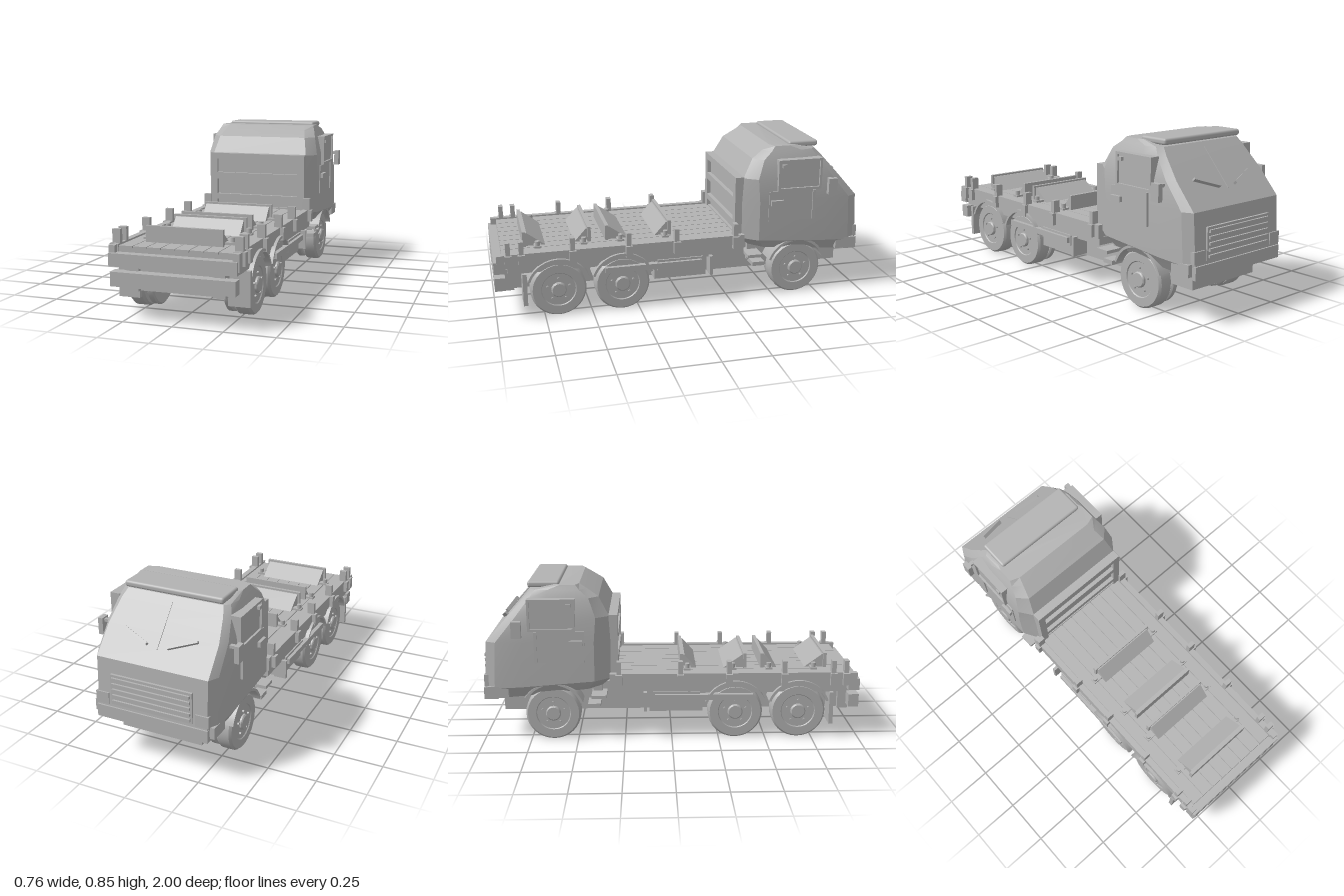
import * as THREE from 'three';
import { toCreasedNormals } from 'three/addons/utils/BufferGeometryUtils.js';
import { RoundedBoxGeometry } from 'three/addons/geometries/RoundedBoxGeometry.js';

const grey = new THREE.MeshStandardMaterial({ color: 0xb2b2b2 });
grey.name = 'primer grey';

function add(parent, name, geometry) {
  const mesh = new THREE.Mesh(geometry, grey);
  mesh.name = name;
  parent.add(mesh);
  return mesh;
}

// Box given by its limits on each axis
function box(parent, name, x0, x1, y0, y1, z0, z1) {
  const geo = new THREE.BoxGeometry(Math.abs(x1 - x0), Math.abs(y1 - y0), Math.abs(z1 - z0));
  geo.translate((x0 + x1) / 2, (y0 + y1) / 2, (z0 + z1) / 2);
  return add(parent, name, geo);
}

// The same box on both sides
function pair(parent, name, x0, x1, y0, y1, z0, z1) {
  box(parent, name + 'Right', x0, x1, y0, y1, z0, z1);
  box(parent, name + 'Left', -x1, -x0, y0, y1, z0, z1);
}

// Profile of [z, y] points extruded across x
function prism(parent, name, points, x0, x1) {
  const shape = new THREE.Shape(points.map(([z, y]) => new THREE.Vector2(-z, y)));
  const geo = new THREE.ExtrudeGeometry(shape, { depth: x1 - x0, bevelEnabled: false });
  geo.rotateY(Math.PI / 2).translate(x0, 0, 0);
  return add(parent, name, geo);
}

// Cab shell lofted through horizontal rings: [yBack, yFront, halfWidth, zBack, zFront]
function cabGeometry() {
  const levels = [
    [0.285, 0.225, 0.30, -0.37, -0.93],
    [0.335, 0.285, 0.335, -0.32, -0.985],
    [0.54, 0.54, 0.337, -0.322, -0.97],
    [0.67, 0.67, 0.335, -0.327, -0.855],
    [0.77, 0.77, 0.313, -0.38, -0.767],
    [0.81, 0.81, 0.296, -0.44, -0.73],
    [0.835, 0.835, 0.285, -0.48, -0.62],
  ];
  const pos = [], index = [], n = 10;
  for (const [yb, yf, w, zb, zf] of levels) {
    const d = zb - zf;
    const half = [[w - 0.05, zb], [w, zb - 0.13 * d], [w, zf + 0.3 * d], [w - 0.012, zf + 0.08 * d], [w - 0.04, zf]];
    const ring = [...half, ...half.map(([x, z]) => [-x, z]).reverse()];
    for (const [x, z] of ring) pos.push(x, yb + (yf - yb) * (zb - z) / d, z);
  }
  for (let i = 0; i < levels.length - 1; i++) {
    for (let k = 0; k < n; k++) {
      const a = i * n + k, b = i * n + (k + 1) % n;
      index.push(a, b, b + n, a, b + n, a + n);
    }
  }
  const top = (levels.length - 1) * n;
  for (let k = 1; k < n - 1; k++) index.push(top, top + k, top + k + 1, 0, k + 1, k);
  const geo = new THREE.BufferGeometry();
  geo.setAttribute('position', new THREE.Float32BufferAttribute(pos, 3));
  geo.setIndex(index);
  return toCreasedNormals(geo, 0.3);
}

function buildCab(root) {
  const cab = new THREE.Group();
  cab.name = 'cab';
  root.add(cab);
  add(cab, 'cabShell', cabGeometry());
  add(cab, 'roofVisor', new RoundedBoxGeometry(0.53, 0.032, 0.165, 2, 0.012)).position.set(0, 0.834, -0.665);

  // Rear wall with ribs
  box(cab, 'rearWall', -0.28, 0.28, 0.34, 0.67, -0.34, -0.305);
  pair(cab, 'rearWallPost', 0.247, 0.287, 0.34, 0.675, -0.33, -0.283);
  for (const [y0, y1] of [[0.64, 0.675], [0.522, 0.56], [0.40, 0.432]])
    box(cab, 'rearWallRail', -0.25, 0.25, y0, y1, -0.33, -0.283);

  // Doors, handles and mirrors
  for (const s of [-1, 1]) {
    const side = (name, x0, x1, ...rest) => box(cab, name, s * x0, s * x1, ...rest);
    side('windowPane', 0.30, 0.342, 0.615, 0.765, -0.51, -0.735);
    side('windowSill', 0.30, 0.353, 0.603, 0.617, -0.50, -0.745);
    side('windowHeader', 0.30, 0.353, 0.76, 0.772, -0.50, -0.745);
    side('windowPillar', 0.30, 0.353, 0.603, 0.772, -0.50, -0.512);
    side('windowPillar', 0.30, 0.353, 0.603, 0.772, -0.733, -0.745);
    side('doorPanel', 0.32, 0.342, 0.435, 0.6, -0.455, -0.715);
    side('doorEdge', 0.32, 0.349, 0.435, 0.6, -0.70, -0.715);
    side('doorHandle', 0.33, 0.358, 0.525, 0.553, -0.465, -0.535);
    side('mirrorArm', 0.30, 0.36, 0.64, 0.655, -0.79, -0.81);
    side('mirror', 0.355, 0.381, 0.575, 0.662, -0.775, -0.825);
    side('windowHinge', 0.34, 0.358, 0.73, 0.748, -0.52, -0.545);
  }

  // Windscreen seam and wipers
  const screen = new THREE.Group();
  screen.name = 'windscreenDetails';
  screen.position.set(0, 0.675, -0.852);
  screen.rotation.x = 0.727;
  cab.add(screen);
  box(screen, 'windscreenSeam', -0.002, 0.002, -0.09, 0.15, -0.003, 0.003);
  for (const s of [-1, 1]) {
    const wiper = box(screen, 'wiper', -0.076, 0.076, -0.006, 0.006, -0.018, 0.002);
    wiper.position.set(s * 0.125, -0.045, 0);
    wiper.rotation.z = s * 0.4;
  }

  // Grille, lamps and bumper
  box(cab, 'grillePanel', -0.22, 0.22, 0.305, 0.465, -0.97, -0.987);
  for (let i = 0; i < 5; i++) box(cab, 'grilleSlat', -0.21, 0.21, 0.318 + i * 0.03, 0.332 + i * 0.03, -0.98, -0.997);
  pair(cab, 'headlamp', 0.235, 0.305, 0.30, 0.36, -0.94, -0.988);
  box(cab, 'bumper', -0.30, 0.30, 0.225, 0.29, -0.92, -0.993);
  pair(cab, 'bumperCorner', 0.29, 0.325, 0.24, 0.30, -0.86, -0.97);
}

function buildBed(root) {
  const bed = new THREE.Group();
  bed.name = 'loadBed';
  root.add(bed);
  box(bed, 'deckBase', -0.31, 0.31, 0.29, 0.343, -0.325, 0.955);
  pair(bed, 'sideRail', 0.285, 0.317, 0.29, 0.362, -0.33, 0.96);
  for (let i = 0; i < 8; i++) {
    const x = -0.284 + i * 0.071;
    box(bed, 'deckPlank', x + 0.002, x + 0.069, 0.335, 0.355, -0.32, 0.955);
  }
  box(bed, 'frontSill', -0.285, 0.285, 0.34, 0.362, -0.33, -0.29);

  // Stake posts with brackets
  for (const z of [0.925, 0.858, 0.597, 0.303, 0.045, -0.28]) {
    pair(bed, 'stakePost', 0.285, 0.325, 0.30, 0.428, z - 0.012, z + 0.012);
    pair(bed, 'stakeBracket', 0.31, 0.338, 0.295, 0.36, z - 0.018, z + 0.018);
  }

  // Wedge cradles in facing pairs, with clamps
  const cradles = [[0.06, 0.145, 0.085], [0.395, 0.27, 0.33], [0.495, 0.58, 0.525], [0.83, 0.71, 0.767]];
  for (const [zTop, zLow, zClamp] of cradles) {
    const d = Math.sign(zLow - zTop);
    prism(bed, 'cradleWedge', [[zTop, 0.345], [zTop, 0.425], [zTop + d * 0.012, 0.425], [zLow, 0.345]], -0.183, 0.183);
    box(bed, 'cradleBack', -0.195, 0.195, 0.35, 0.435, zTop - d * 0.012, zTop + d * 0.006);
    for (const s of [-1, 1]) {
      box(bed, 'clampArm', s * 0.17, s * 0.235, 0.35, 0.366, zClamp - 0.018, zClamp + 0.018);
      add(bed, 'clampBolt', new THREE.CylinderGeometry(0.013, 0.013, 0.04, 12)).position.set(s * 0.218, 0.37, zClamp);
    }
  }

  // Tail beams
  box(bed, 'upperTailBeam', -0.317, 0.317, 0.262, 0.325, 0.94, 1.0);
  pair(bed, 'tailBeamEnd', 0.29, 0.322, 0.275, 0.36, 0.94, 0.985);
  box(bed, 'underrunBeam', -0.31, 0.31, 0.167, 0.237, 0.945, 1.0);
  pair(bed, 'underrunArm', 0.185, 0.245, 0.14, 0.255, 0.9, 0.955);
}

function buildChassis(root) {
  const chassis = new THREE.Group();
  chassis.name = 'chassis';
  root.add(chassis);
  box(chassis, 'chassisBox', -0.22, 0.22, 0.14, 0.295, -0.9, 0.93);
  pair(chassis, 'chassisRail', 0.16, 0.185, 0.13, 0.2, -0.85, 0.9);
  pair(chassis, 'underRail', 0.215, 0.31, 0.255, 0.295, -0.33, 0.93);
  pair(chassis, 'storageBox', 0.21, 0.30, 0.15, 0.262, -0.12, 0.165);
  pair(chassis, 'storageLid', 0.29, 0.318, 0.205, 0.262, -0.10, 0.15);
  pair(chassis, 'guardRail', 0.305, 0.335, 0.22, 0.25, -0.09, 0.43);
  pair(chassis, 'guardBracket', 0.27, 0.338, 0.16, 0.265, -0.15, -0.133);
  pair(chassis, 'upperStep', 0.22, 0.342, 0.235, 0.252, -0.425, -0.345);
  pair(chassis, 'lowerStep', 0.22, 0.325, 0.18, 0.202, -0.445, -0.378);
  pair(chassis, 'stepBracket', 0.22, 0.25, 0.19, 0.3, -0.42, -0.37);
  pair(chassis, 'mudFlap', 0.225, 0.334, 0.082, 0.255, 0.838, 0.86);
}

// Wheel with its axis on x, outer face towards +x
function buildWheel() {
  const wheel = new THREE.Group();
  wheel.name = 'wheel';
  const lathe = (name, pts) => {
    const geo = new THREE.LatheGeometry(pts.map(([r, x]) => new THREE.Vector2(r, x)), 32);
    add(wheel, name, toCreasedNormals(geo.rotateZ(-Math.PI / 2), 0.5));
  };
  lathe('tyre', [[0, 0.228], [0.135, 0.228], [0.146, 0.24], [0.146, 0.3], [0.136, 0.312], [0.092, 0.312], [0.088, 0.307], [0, 0.307]]);
  lathe('innerTyre', [[0, 0.178], [0.128, 0.178], [0.137, 0.185], [0.137, 0.21], [0.128, 0.216], [0, 0.216]]);
  lathe('hub', [[0.04, 0.2], [0.04, 0.316], [0.034, 0.322], [0, 0.322]]);
  for (let i = 0; i < 5; i++) {
    const a = Math.PI / 2 + i * Math.PI * 0.4;
    const bolt = add(wheel, 'wheelBolt', new THREE.CylinderGeometry(0.007, 0.007, 0.014, 8));
    bolt.rotation.z = Math.PI / 2;
    bolt.position.set(0.309, Math.sin(a) * 0.06, Math.cos(a) * 0.06);
  }
  return wheel;
}

// Curved mudguard spanning the angles a0 to a1
function fenderGeometry(a0, a1) {
  const shape = new THREE.Shape();
  shape.absarc(0, 0, 0.17, a0, a1, false);
  shape.absarc(0, 0, 0.157, a1, a0, true);
  const geo = new THREE.ExtrudeGeometry(shape, { depth: 0.11, bevelEnabled: false, curveSegments: 12 });
  return toCreasedNormals(geo.rotateY(Math.PI / 2), 0.5);
}

export function createModel() {
  const truck = new THREE.Group();
  truck.name = 'truck';
  buildCab(truck);
  buildBed(truck);
  buildChassis(truck);
  for (const z of [0.675, 0.338, -0.63]) {
    for (const s of [-1, 1]) {
      const wheel = buildWheel();
      wheel.position.set(0, 0.147, z);
      if (s < 0) wheel.rotation.y = Math.PI;
      truck.add(wheel);
      add(truck, 'fender', fenderGeometry(0.35, Math.PI - 0.35)).position.set(s > 0 ? 0.222 : -0.332, 0.152, z);
    }
  }
  return truck;
}
